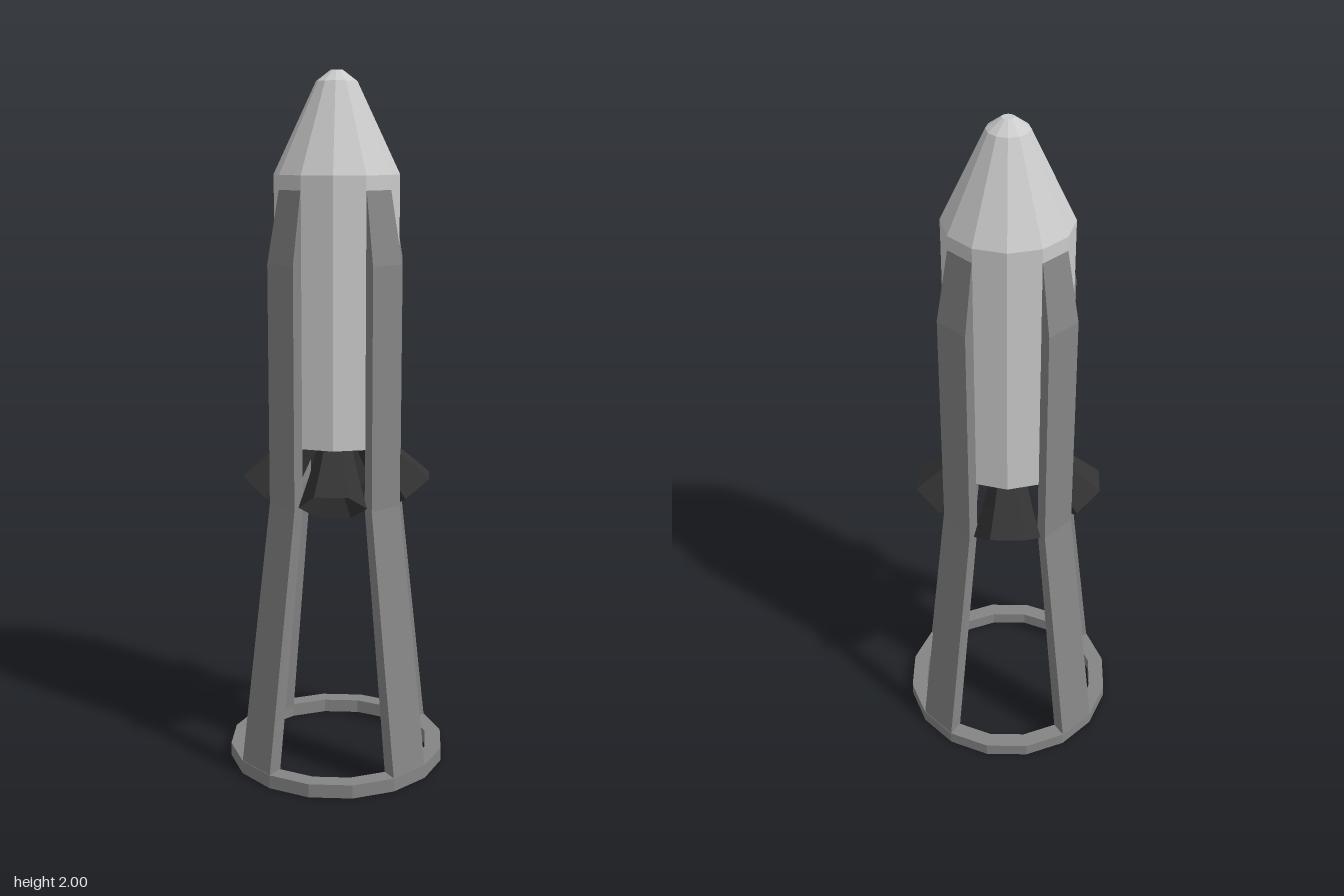
import * as THREE from 'three';

const material = (color) => new THREE.MeshStandardMaterial({ color, flatShading: true });

// Faceted solid of revolution, turned half a step so flat sides face the axes
function faceted(name, profile, sides, mat) {
  const points = profile.map(([r, y]) => new THREE.Vector2(r, y));
  const geometry = new THREE.LatheGeometry(points, sides, Math.PI / sides);
  const flat = geometry.toNonIndexed();
  flat.computeVertexNormals();
  const mesh = new THREE.Mesh(flat, mat);
  mesh.name = name;
  return mesh;
}

// Strut lofted through four-cornered sections: [y, inner z, inner half width, outer z, outer half width]
function strutGeometry(sections) {
  const positions = [];
  const index = [];
  for (const [y, zi, wi, zo, wo] of sections) {
    positions.push(-wi, y, zi, -wo, y, zo, wo, y, zo, wi, y, zi);
  }
  for (let s = 0; s < sections.length - 1; s++) {
    for (let k = 0; k < 4; k++) {
      const a = s * 4 + k;
      const b = s * 4 + ((k + 1) % 4);
      index.push(a, b, b + 4, a, b + 4, a + 4);
    }
  }
  const t = (sections.length - 1) * 4;
  index.push(0, 2, 1, 0, 3, 2, t, t + 1, t + 2, t, t + 2, t + 3);
  const geometry = new THREE.BufferGeometry();
  geometry.setAttribute('position', new THREE.Float32BufferAttribute(positions, 3));
  geometry.setIndex(index);
  const flat = geometry.toNonIndexed();
  flat.computeVertexNormals();
  return flat;
}

export function createModel() {
  const model = new THREE.Group();
  model.name = 'rocket';
  const hull = material(0xcccccc);
  const frame = material(0x858585);
  const dark = material(0x333333);

  // Twelve-sided hull and blunt nose cone
  model.add(faceted('hull', [[0, 0.97], [0.176, 0.97], [0.176, 1.72]], 12, hull));
  model.add(faceted('noseCone', [[0.176, 1.72], [0.057, 1.97], [0.017, 2], [0, 2]], 12, hull));

  // Landing ring
  model.add(faceted('landingRing',
    [[0.272, 0], [0.32, 0], [0.32, 0.04], [0.272, 0.04], [0.272, 0]], 16, frame));

  // Four legs running up the hull as fins
  const legGeometry = strutGeometry([
    [0.03, 0.267, 0.053, 0.314, 0.0625],
    [0.8, 0.168, 0.045, 0.207, 0.0545],
    [1.48, 0.168, 0.045, 0.207, 0.0545],
    [1.68, 0.168, 0.045, 0.171, 0.0456],
  ]);
  for (let i = 0; i < 4; i++) {
    const leg = new THREE.Mesh(legGeometry, frame);
    leg.name = 'leg';
    leg.rotation.y = (i * Math.PI) / 2;
    model.add(leg);
  }

  // Four hollow engine nozzles tilted outward between the legs
  const nozzleProfile = [[0, 0.06], [0.05, 0.06], [0.095, 0], [0.07, 0.09], [0.045, 0.2], [0, 0.2]];
  for (let i = 0; i < 4; i++) {
    const mount = new THREE.Group();
    mount.name = 'engine';
    mount.rotation.y = Math.PI / 4 + (i * Math.PI) / 2;
    const nozzle = faceted('nozzle', nozzleProfile, 6, dark);
    nozzle.position.set(0, 0.815, 0.2015);
    nozzle.rotation.x = -0.62;
    mount.add(nozzle);
    model.add(mount);
  }
  return model;
}
